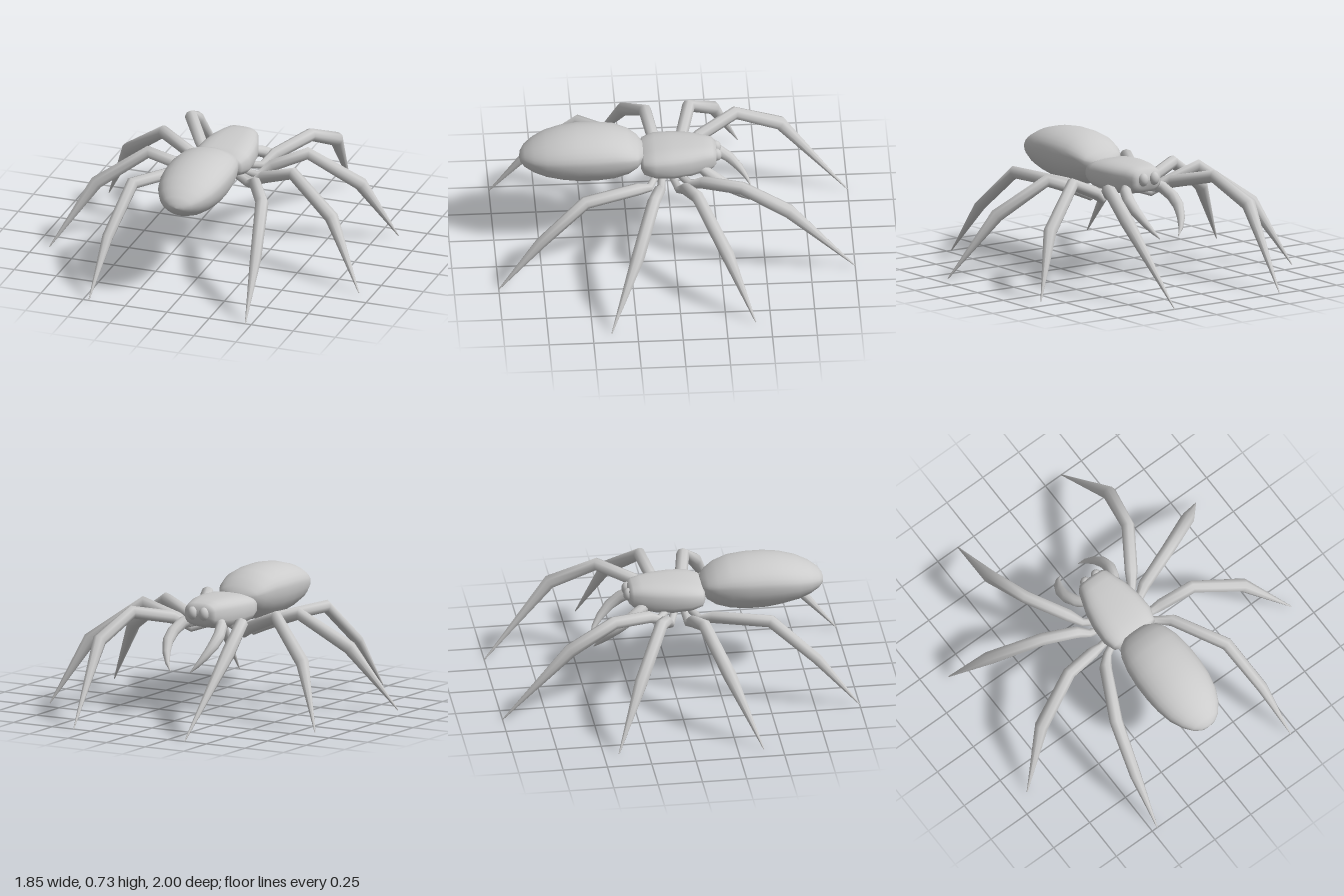
import * as THREE from 'three';

const material = new THREE.MeshStandardMaterial({ color: 0xcccccc, side: THREE.DoubleSide });

// Skin a list of equal-sized rings of Vector3
function loft(rings) {
  const n = rings[0].length, index = [];
  for (let i = 0; i < rings.length - 1; i++) {
    for (let j = 0; j < n; j++) {
      const a = i * n + j, b = i * n + (j + 1) % n;
      index.push(a, b, b + n, a, b + n, a + n);
    }
  }
  const g = new THREE.BufferGeometry().setFromPoints(rings.flat());
  g.setIndex(index);
  g.computeVertexNormals();
  return g;
}

// Body from stations [z, widest y, half width, top y, bottom y]; power < 1 gives boxier sections
function bodyGeometry(stations, power, sides = 28) {
  const soft = (v) => Math.sign(v) * Math.abs(v) ** power;
  return loft(stations.map(([z, y, w, top, bottom]) =>
    Array.from({ length: sides }, (_, j) => {
      const a = (j / sides) * Math.PI * 2, s = soft(Math.sin(a));
      return new THREE.Vector3(w * soft(Math.cos(a)), y + s * (s > 0 ? top - y : y - bottom), z);
    })));
}

// Tapered limb through points [x, y, z, radius]; side mirrors x
function limbGeometry(path, side, sides = 8) {
  const pts = path.map(([x, y, z]) => new THREE.Vector3(x * side, y, z));
  const up = new THREE.Vector3(0, 1, 0);
  return loft(pts.map((p, i) => {
    const before = p.clone().sub(pts[Math.max(i - 1, 0)]).normalize();
    const after = pts[Math.min(i + 1, pts.length - 1)].clone().sub(p).normalize();
    const t = before.add(after).normalize();
    const u = up.clone().cross(t).normalize(), v = t.clone().cross(u);
    return Array.from({ length: sides }, (_, j) => {
      const a = (j / sides) * Math.PI * 2, r = path[i][3];
      return p.clone().addScaledVector(u, r * Math.cos(a)).addScaledVector(v, r * Math.sin(a));
    });
  }));
}

// Head faces -z
const ABDOMEN = [
  [0.165, 0.59, 0, 0.59, 0.59], [0.168, 0.59, 0.075, 0.62, 0.54], [0.2, 0.6, 0.125, 0.65, 0.5],
  [0.25, 0.61, 0.153, 0.69, 0.465], [0.33, 0.62, 0.175, 0.722, 0.44], [0.43, 0.62, 0.186, 0.733, 0.431],
  [0.53, 0.62, 0.187, 0.733, 0.433], [0.62, 0.615, 0.18, 0.722, 0.447], [0.71, 0.605, 0.16, 0.698, 0.468],
  [0.78, 0.595, 0.126, 0.665, 0.495], [0.83, 0.585, 0.085, 0.63, 0.525], [0.853, 0.575, 0.045, 0.6, 0.55],
  [0.86, 0.573, 0, 0.573, 0.573],
];
const THORAX = [
  [0.182, 0.55, 0, 0.55, 0.55], [0.18, 0.55, 0.11, 0.585, 0.51], [0.165, 0.55, 0.142, 0.608, 0.485],
  [0.1, 0.55, 0.164, 0.63, 0.465], [0, 0.55, 0.16, 0.638, 0.455], [-0.1, 0.55, 0.142, 0.637, 0.46],
  [-0.17, 0.55, 0.117, 0.632, 0.475], [-0.22, 0.555, 0.1, 0.622, 0.49], [-0.242, 0.56, 0.08, 0.6, 0.51],
  [-0.247, 0.56, 0, 0.56, 0.56],
].reverse();
// Hip, lowest joint, thigh, knee, shin joint, tip
const LEGS = {
  frontLeg: [[0.05, 0.49, 0, 0.02], [0.17, 0.465, -0.09, 0.024], [0.22, 0.51, -0.16, 0.036],
    [0.355, 0.56, -0.37, 0.037], [0.415, 0.435, -0.625, 0.04], [0.36, 0, -1, 0.003]],
  secondLeg: [[0.05, 0.47, 0.02, 0.02], [0.17, 0.432, -0.025, 0.024], [0.24, 0.485, -0.06, 0.035],
    [0.43, 0.565, -0.115, 0.037], [0.69, 0.355, -0.265, 0.039], [0.86, 0, -0.415, 0.003]],
  thirdLeg: [[0.05, 0.47, 0.06, 0.02], [0.17, 0.432, 0.075, 0.024], [0.24, 0.475, 0.09, 0.035],
    [0.43, 0.545, 0.13, 0.037], [0.7, 0.36, 0.235, 0.039], [0.92, 0, 0.395, 0.003]],
  backLeg: [[0.05, 0.48, 0.08, 0.02], [0.17, 0.45, 0.14, 0.024], [0.235, 0.49, 0.21, 0.035],
    [0.385, 0.52, 0.51, 0.037], [0.44, 0.29, 0.765, 0.032], [0.465, 0, 1, 0.003]],
};
const FANG = [[0.08, 0.52, -0.14, 0.025], [0.125, 0.495, -0.2, 0.033], [0.148, 0.455, -0.265, 0.034],
  [0.147, 0.41, -0.325, 0.031], [0.125, 0.355, -0.38, 0.023], [0.095, 0.305, -0.42, 0.013],
  [0.063, 0.265, -0.443, 0.002]];

export function createModel() {
  const group = new THREE.Group();
  const add = (name, geometry) => {
    const mesh = new THREE.Mesh(geometry, material);
    mesh.name = name;
    group.add(mesh);
    return mesh;
  };

  add('abdomen', bodyGeometry(ABDOMEN, 1));
  add('thorax', bodyGeometry(THORAX, 0.7));

  // Paired parts
  for (const side of [1, -1]) {
    const label = side > 0 ? 'Left' : 'Right';
    for (const [name, path] of Object.entries(LEGS)) add(name + label, limbGeometry(path, side));
    add('fang' + label, limbGeometry(FANG, side, 10));
    const eye = add('eye' + label, new THREE.SphereGeometry(0.03, 14, 10));
    eye.scale.y = 1.25;
    eye.position.set(0.037 * side, 0.565, -0.243);
  }
  return group;
}
